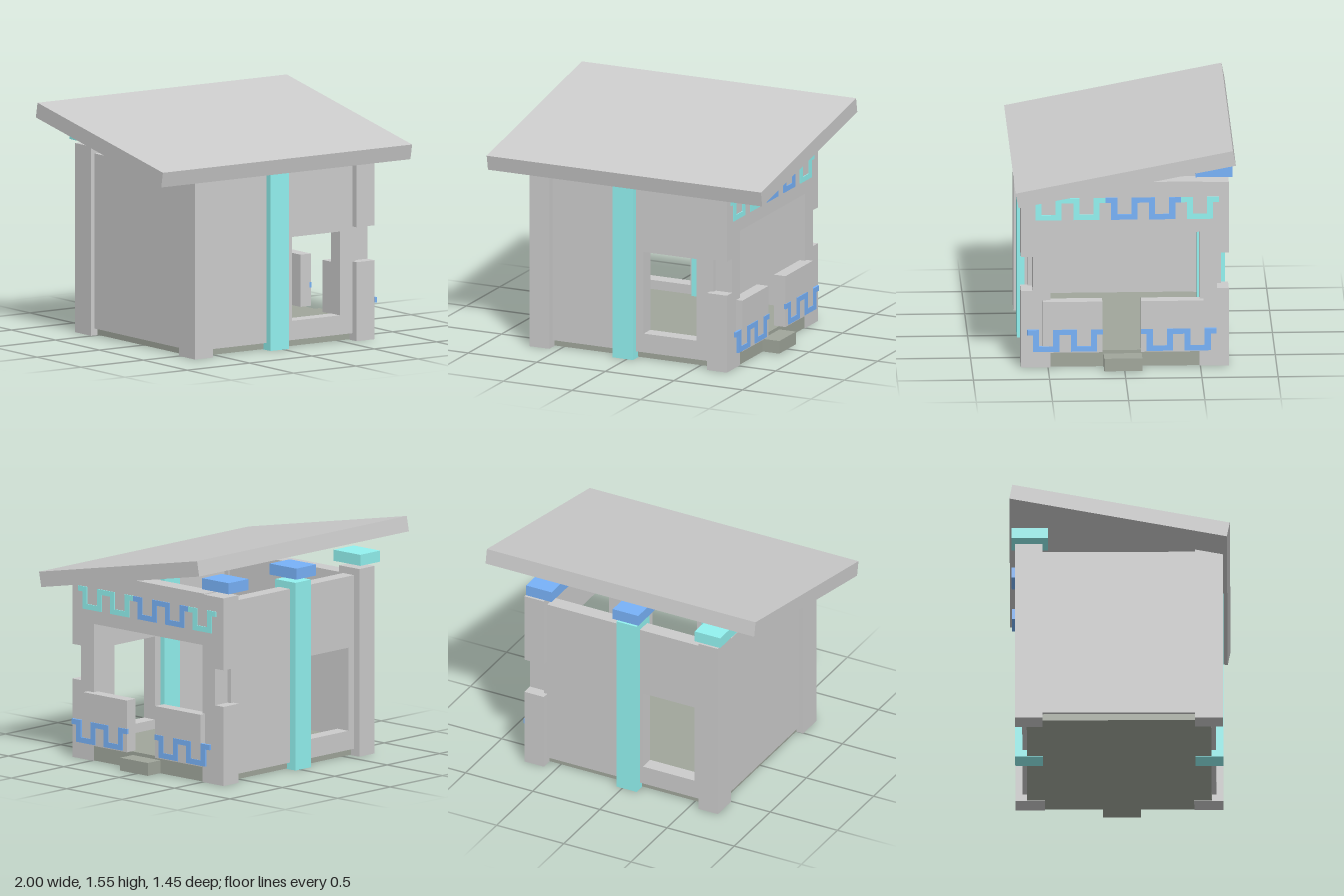
import * as THREE from 'three';

const material = (color) => new THREE.MeshStandardMaterial({ color, flatShading: true });
const points = (list) => list.map(([x, y]) => new THREE.Vector2(x, y));

export function createModel() {
  const group = new THREE.Group();
  const grey = material(0xcccccc);
  const stone = material(0xa0a69b);
  const cyan = material(0x92f2f0);
  const blue = material(0x78b2f8);

  function add(name, geometry, mat, x, y, z) {
    const mesh = new THREE.Mesh(geometry, mat);
    mesh.position.set(x, y, z);
    mesh.name = name;
    group.add(mesh);
    return mesh;
  }

  // Box given by its limits on each axis
  const box = (name, mat, [x0, x1], [y0, y1], [z0, z1]) =>
    add(name, new THREE.BoxGeometry(x1 - x0, y1 - y0, z1 - z0), mat,
      (x0 + x1) / 2, (y0 + y1) / 2, (z0 + z1) / 2);

  const extrude = (shape, depth) =>
    new THREE.ExtrudeGeometry(shape, { depth, bevelEnabled: false });

  // Tilted slab roof
  const roof = box('roof', grey, [-1, 1], [1.311, 1.413], [-0.7265, 0.7265]);
  roof.rotation.x = 0.1906;

  // Floor and step
  box('floor', stone, [-0.66, 0.727], [0.003, 0.113], [-0.61, 0.6]);
  box('step', stone, [0.6, 0.848], [0.004, 0.09], [-0.115, 0.135]);

  // Plain corner posts on the closed side
  box('postFront', grey, [-0.71, -0.565], [0, 1.25], [0.495, 0.678]);
  box('postBack', grey, [-0.71, -0.565], [0, 1.257], [-0.687, -0.505]);

  // Corner posts on the open side, with a notch cut in the outer face;
  // the profile is drawn in -z and y, then extruded along x
  function notchedPost(name, inner, outer, cut, low, high, top) {
    const profile = new THREE.Shape(points([
      [-inner, 0], [-outer, 0], [-outer, low], [-cut, low],
      [-cut, high], [-outer, high], [-outer, top], [-inner, top],
    ]));
    add(name, extrude(profile, 0.145), grey, 0.585, 0, 0).rotation.y = Math.PI / 2;
  }
  notchedPost('notchedPostFront', 0.485, 0.678, 0.6, 0.525, 0.757, 1.25);
  notchedPost('notchedPostBack', -0.495, -0.687, -0.61, 0.53, 0.775, 1.257);

  // Middle columns, front and back
  box('columnFront', cyan, [-0.105, 0.045], [0, 1.24], [0.495, 0.678]);
  box('columnBack', cyan, [-0.105, 0.045], [0, 1.257], [-0.687, -0.505]);

  // Caps under the back of the roof
  [[0.61, blue], [-0.035, blue], [-0.645, cyan]].forEach(([x, mat]) =>
    box('cap', mat, [x - 0.095, x + 0.095], [1.284, 1.358], [-0.71, -0.47]));

  // Front and back walls, each with a window opening
  function windowWall(name, z, x0, x1) {
    const wall = new THREE.Shape(points([[-0.6, 0.047], [0.61, 0.047], [0.61, 1.21], [-0.6, 1.21]]));
    wall.holes.push(new THREE.Path(points([[x0, 0.175], [x0, 0.732], [x1, 0.732], [x1, 0.175]])));
    add(name, extrude(wall, 0.1), grey, 0, 0, z);
  }
  windowWall('frontWall', 0.53, 0.1, 0.485);
  windowWall('backWall', -0.64, -0.512, -0.127);

  // Closed side wall, and the beam over the open side
  box('sideWall', grey, [-0.685, -0.575], [0.047, 1.21], [-0.55, 0.55]);
  box('doorBeam', grey, [0.61, 0.73], [0.918, 1.263], [-0.515, 0.505]);

  // Low panels either side of the entrance
  box('entrancePanel', grey, [0.69, 0.774], [0.113, 0.46], [0.145, 0.538]);
  box('entrancePanel', grey, [0.69, 0.774], [0.113, 0.46], [-0.52, -0.11]);

  // One U-shaped unit of the meander, running towards -z from its start
  const unit = 0.2487;
  const depth = 0.016;
  const meander = extrude(new THREE.Shape(points([
    [0, 0.15], [0.078, 0.15], [0.078, 0.036], [0.17, 0.036], [0.17, 0.15], [unit, 0.15],
    [unit, 0.115], [0.21, 0.115], [0.21, 0], [0.038, 0], [0.038, 0.115], [0, 0.115],
  ])), depth);
  const addMeander = (name, mat, x, y, z) => {
    add(name, meander, mat, x - depth, y, z).rotation.y = Math.PI / 2;
  };
  [cyan, cyan, blue, blue, cyan].forEach((mat, i) =>
    addMeander('upperMeander', mat, 0.736, 1.008, 0.621 - i * unit));
  for (const start of [0.638, -0.108])
    for (let i = 0; i < 2; i++)
      addMeander('lowerMeander', blue, 0.779, 0.12, start - i * unit);

  return group;
}
